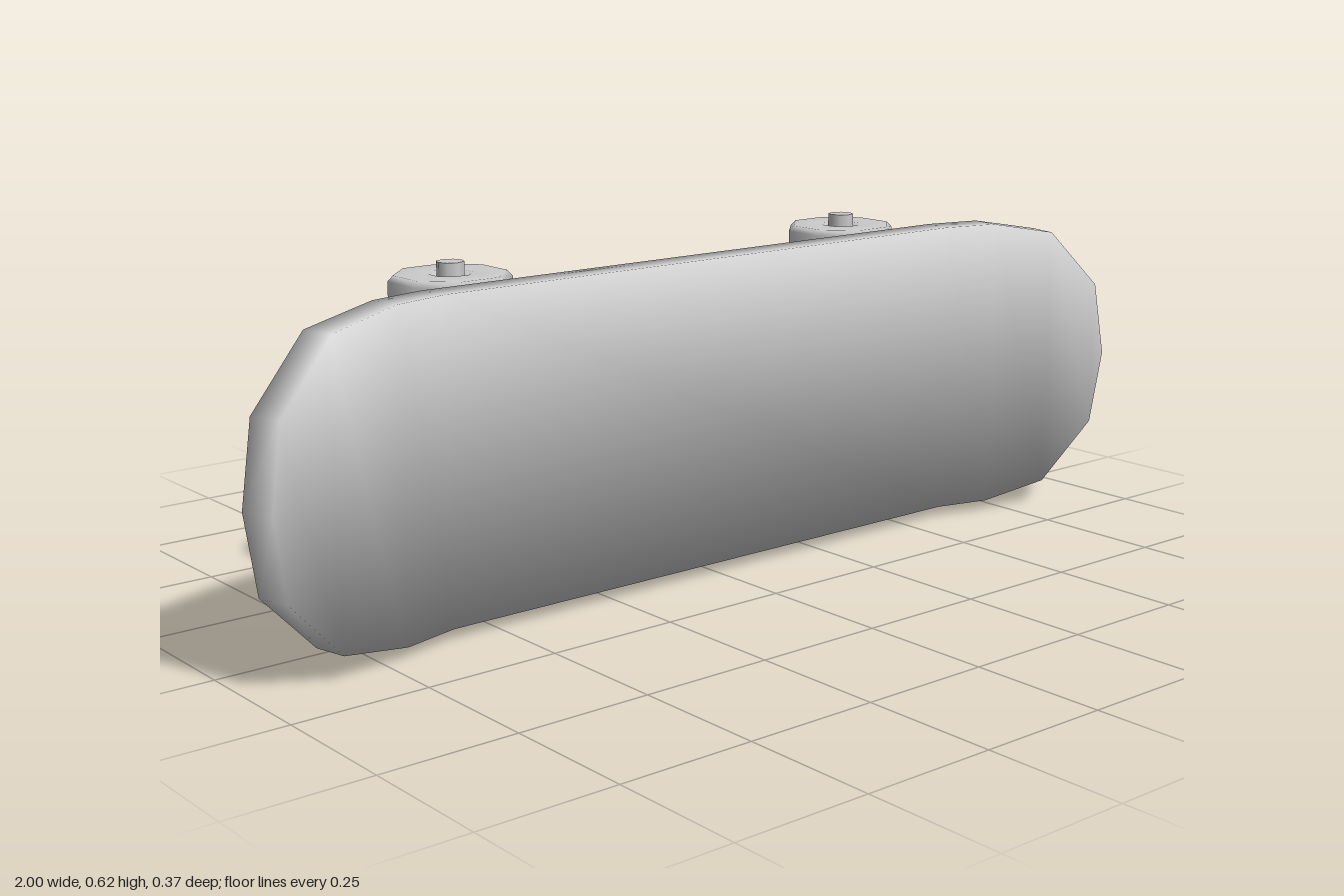
import * as THREE from 'three';
import { mergeVertices } from 'three/addons/utils/BufferGeometryUtils.js';

const MID = 0.311; // height of the board's long axis
const material = new THREE.MeshStandardMaterial({ color: 0xcccccc });

function addMesh(parent, name, geometry) {
  const mesh = new THREE.Mesh(geometry, material);
  mesh.name = name;
  parent.add(mesh);
  return mesh;
}

// Smooth normals weighted by corner angle, so thin sides count as much as broad faces
function smoothNormals(geometry) {
  const pos = geometry.attributes.position, index = geometry.index;
  const sums = Array.from({ length: pos.count }, () => new THREE.Vector3());
  for (let t = 0; t < index.count; t += 3) {
    const ids = [0, 1, 2].map(k => index.getX(t + k));
    const p = ids.map(i => new THREE.Vector3().fromBufferAttribute(pos, i));
    const normal = new THREE.Triangle(...p).getNormal(new THREE.Vector3());
    if (normal.lengthSq() === 0) continue;
    ids.forEach((id, k) => {
      const u = p[(k + 1) % 3].clone().sub(p[k]), v = p[(k + 2) % 3].clone().sub(p[k]);
      sums[id].addScaledVector(normal, u.angleTo(v));
    });
  }
  const normals = sums.flatMap(n => n.normalize().toArray());
  geometry.setAttribute('normal', new THREE.Float32BufferAttribute(normals, 3));
  return geometry;
}

// Skin over four-cornered rings, closed at both ends
function loft(rings) {
  const index = [], last = (rings.length - 1) * 4;
  for (let i = 0; i < last; i += 4) {
    for (let j = 0; j < 4; j++) {
      const a = i + j, b = i + (j + 1) % 4;
      index.push(a, b, b + 4, a, b + 4, a + 4);
    }
  }
  index.push(0, 2, 1, 0, 3, 2, last, last + 1, last + 2, last, last + 2, last + 3);
  const geometry = new THREE.BufferGeometry();
  geometry.setAttribute('position', new THREE.Float32BufferAttribute(rings.flat(2), 3));
  geometry.setIndex(index);
  return smoothNormals(mergeVertices(geometry, 1e-5));
}

// Tapered block running backward; each end is [x0, x1, half height, z]
function taperedBlock(...ends) {
  return loft(ends.map(([x0, x1, h, z]) => [[x0, -h, z], [x0, h, z], [x1, h, z], [x1, -h, z]]));
}

// Deck with rounded ends bent forward
function deckGeometry() {
  // x of front face, x of back face, half width, z of front face, z of back face
  const half = [
    [0.595, 0.605, 0.29, 0.09, 0.032],
    [0.705, 0.715, 0.29, 0.118, 0.058],
    [0.845, 0.86, 0.264, 0.15, 0.088],
    [0.957, 0.975, 0.147, 0.178, 0.118],
    [0.98, 1.0, 0, 0.186, 0.125],
  ];
  const mirrored = half.map(([xf, xb, ...rest]) => [-xf, -xb, ...rest]).reverse();
  return loft([...mirrored, ...half].map(([xf, xb, h, zf, zb]) =>
    [[xb, -h, zb], [xb, h, zb], [xf, h, zf], [xf, -h, zf]]));
}

// Eight-sided wheel with chamfered rims and a shallow hub recess
function wheelGeometry() {
  const profile = [
    [0.02, -0.04], [0.04, -0.048], [0.101, -0.0485], [0.111, -0.038],
    [0.111, 0.038], [0.101, 0.0485], [0.04, 0.048], [0.02, 0.04],
  ].map(([r, y]) => new THREE.Vector2(r, y));
  return new THREE.LatheGeometry(profile, 8).rotateY(Math.PI / 8);
}

// Truck on the +x side, with y measured from the board's long axis
function makeTruck() {
  const truck = new THREE.Group();
  const plate = addMesh(truck, 'basePlate', new THREE.BoxGeometry(0.333, 0.333, 0.008));
  plate.position.set(0.443, 0, 0.032);

  addMesh(truck, 'innerMount', taperedBlock([0.3, 0.425, 0.089, 0.03], [0.335, 0.4, 0.079, -0.025]));
  addMesh(truck, 'outerMount', taperedBlock([0.505, 0.6, 0.035, 0.03], [0.52, 0.565, 0.03, -0.023]));
  addMesh(truck, 'innerArm', taperedBlock([0.345, 0.395, 0.02, -0.018], [0.45, 0.485, 0.014, -0.073]));
  addMesh(truck, 'outerArm', taperedBlock([0.525, 0.56, 0.02, -0.018], [0.46, 0.49, 0.014, -0.073]));

  const axle = addMesh(truck, 'axle', new THREE.CylinderGeometry(0.025, 0.025, 2 * MID, 8));
  axle.position.set(0.47, 0, -0.085);
  for (const side of [-1, 1]) {
    const wheel = addMesh(truck, side > 0 ? 'upperWheel' : 'lowerWheel', wheelGeometry());
    wheel.position.set(0.47, side * 0.242, -0.085);
  }
  return truck;
}

export function createModel() {
  const model = new THREE.Group();
  model.name = 'skateboard';
  addMesh(model, 'deck', deckGeometry()).position.y = MID;

  // The two trucks are half-turn copies about the board's centre
  ['leftTruck', 'rightTruck'].forEach((name, i) => {
    const truck = makeTruck();
    truck.name = name;
    truck.position.y = MID;
    truck.rotation.z = i * Math.PI;
    model.add(truck);
  });
  return model;
}
